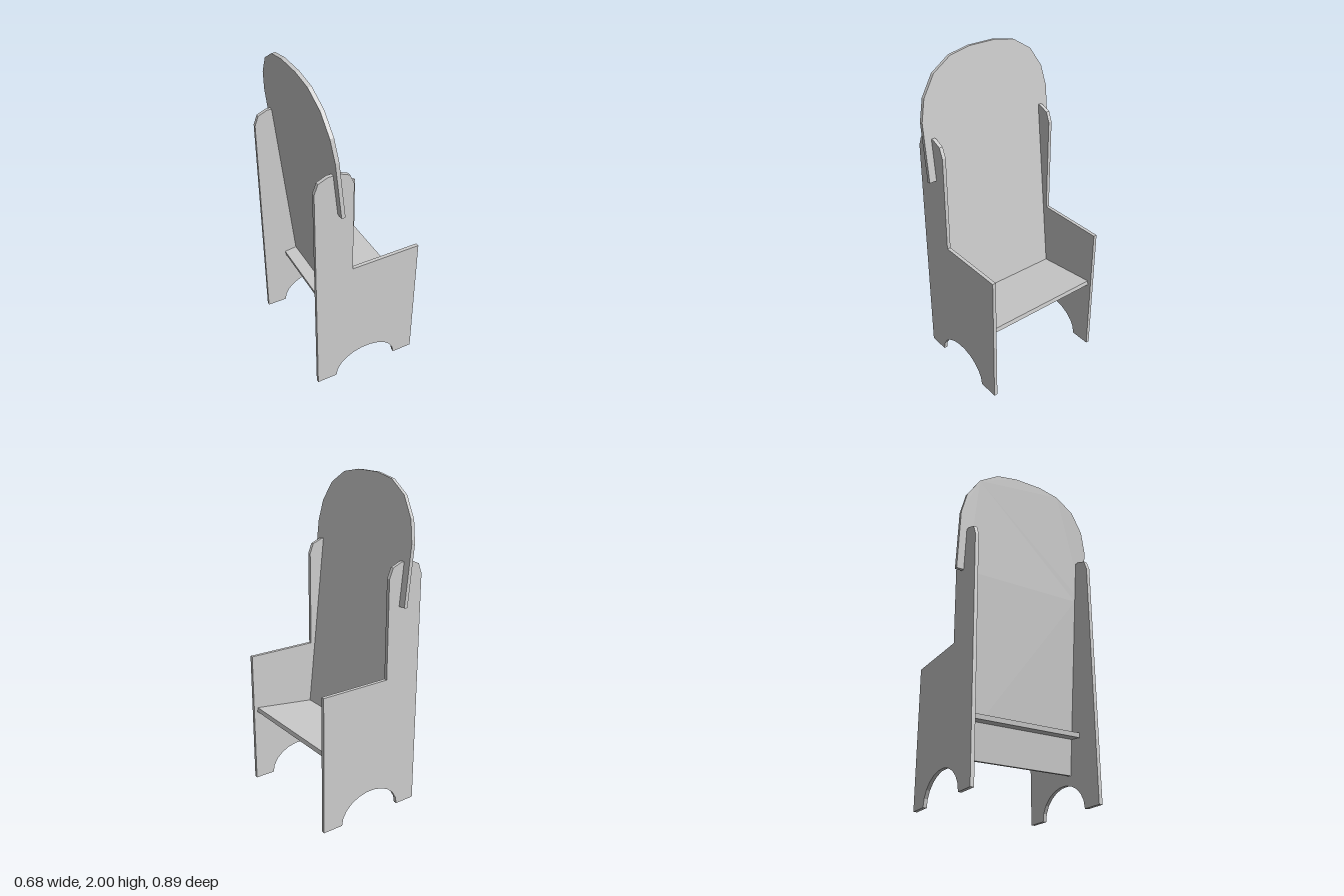
import * as THREE from 'three';

const material = new THREE.MeshStandardMaterial({ color: 0xcccccc, flatShading: true });

// Flat board cut from an outline, with its thickness along +z
function plate(name, points, thickness) {
  const shape = new THREE.Shape(points.map(([x, y]) => new THREE.Vector2(x, y)));
  const geometry = new THREE.ExtrudeGeometry(shape, { depth: thickness, bevelEnabled: false });
  const mesh = new THREE.Mesh(geometry, material);
  mesh.name = name;
  return mesh;
}

export function createModel() {
  const chair = new THREE.Group();
  chair.name = 'chair';

  const lean = 0.1056;                            // backward run per unit of height
  const backX = (y) => -0.089 - lean * (y - 0.21); // rear face of the backrest
  const backWidth = 0.023;
  const innerZ = 0.378;
  const sideThickness = 0.022;

  // Side panels: arched foot cut-out, armrest step, rounded post with a slot for the backrest
  const arch = [];
  for (let i = 0; i <= 11; i++) {
    const a = Math.PI * (1 - i / 11);
    arch.push([0.21 * Math.cos(a), 0.165 * Math.sin(a)]);
  }
  const outline = [
    [-0.34, 0], ...arch, [0.34, 0], [0.34, 0.86], [-0.105, 0.86],
    [-0.105, 1.46], [-0.13, 1.52], [-0.19, 1.545],
    [backX(1.545) + backWidth, 1.545], [backX(1.29) + backWidth, 1.29],
    [backX(1.29), 1.29], [backX(1.545), 1.545],
    [-0.26, 1.545], [-0.317, 1.52], [-0.34, 1.46],
  ];
  for (const [name, z] of [['sidePanelA', innerZ], ['sidePanelB', -innerZ - sideThickness]]) {
    const panel = plate(name, outline, sideThickness);
    panel.position.z = z;
    chair.add(panel);
  }

  // Backrest: narrow between the panels, wider with a rounded head above the slots
  const angle = Math.atan(lean);
  const half = [
    [innerZ, 0.212], [innerZ, 1.29], [0.445, 1.29], [0.445, 1.65],
    [0.415, 1.78], [0.338, 1.90], [0.22, 1.975], [0.085, 2.0],
  ].map(([z, y]) => [z, (y - 0.212) / Math.cos(angle)]);
  const backOutline = [...half, ...half.map(([z, y]) => [-z, y]).reverse()];
  const backrest = plate('backrest', backOutline, backWidth * Math.cos(angle));
  backrest.geometry.rotateY(Math.PI / 2);
  backrest.rotation.z = angle;
  backrest.position.set(backX(0.21), 0.21, 0);
  chair.add(backrest);

  // Seat: tilted board running through the backrest and out behind it
  const seatAngle = Math.atan(0.13);
  const seatLength = 0.507 / Math.cos(seatAngle);
  const seatThickness = 0.028;
  const seatGeometry = new THREE.BoxGeometry(seatLength, seatThickness, innerZ * 2);
  seatGeometry.translate(-seatLength / 2, seatThickness / 2, 0);
  const seat = new THREE.Mesh(seatGeometry, material);
  seat.name = 'seat';
  seat.rotation.z = seatAngle;
  seat.position.set(0.317, 0.476, 0);
  chair.add(seat);

  return chair;
}
